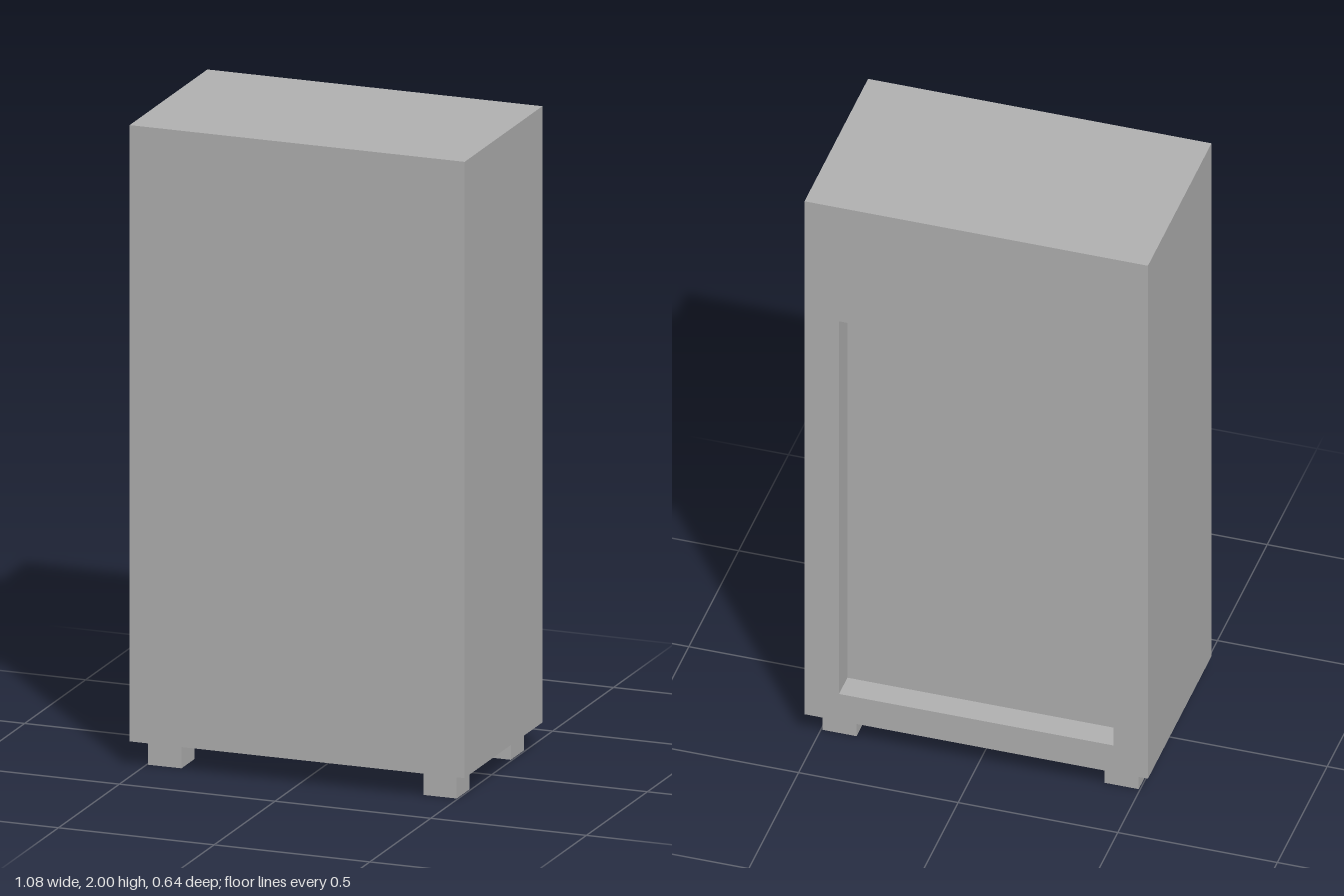
import * as THREE from 'three';

export function createModel() {
  const group = new THREE.Group();
  const grey = new THREE.MeshStandardMaterial({ color: 0xb2b2b2 });
  grey.name = 'grey';

  const W = 1.076, D = 0.638, BOTTOM = 0.08, TOP = 2, RECESS = 0.085;

  const add = (name, geometry, x, y, z) => {
    const mesh = new THREE.Mesh(geometry, grey);
    mesh.name = name;
    mesh.position.set(x, y, z);
    group.add(mesh);
  };

  // Cabinet body, whose rear face is the floor of the back recess
  const bodyDepth = D - RECESS;
  add('cabinetBody', new THREE.BoxGeometry(W, TOP - BOTTOM, bodyDepth),
    0, (TOP + BOTTOM) / 2, RECESS / 2);

  // Rectangular path from its limits
  const rect = (path, halfWidth, y0, y1) => path
    .moveTo(-halfWidth, y0).lineTo(halfWidth, y0)
    .lineTo(halfWidth, y1).lineTo(-halfWidth, y1).closePath();

  // Frame around the recessed back panel
  const outline = new THREE.Shape();
  rect(outline, W / 2, BOTTOM, TOP);
  const opening = new THREE.Path();
  rect(opening, 0.43, 0.18, 1.575);
  outline.holes.push(opening);
  add('backFrame', new THREE.ExtrudeGeometry(outline, { depth: RECESS, bevelEnabled: false }),
    0, 0, -D / 2);

  // Four square feet
  const foot = new THREE.BoxGeometry(0.107, BOTTOM, 0.107);
  for (const [xName, sx] of [['Left', 1], ['Right', -1]]) {
    for (const [zName, sz] of [['front', 1], ['back', -1]]) {
      add(`${zName}${xName}Foot`, foot, sx * 0.442, BOTTOM / 2, sz * 0.222);
    }
  }

  return group;
}
